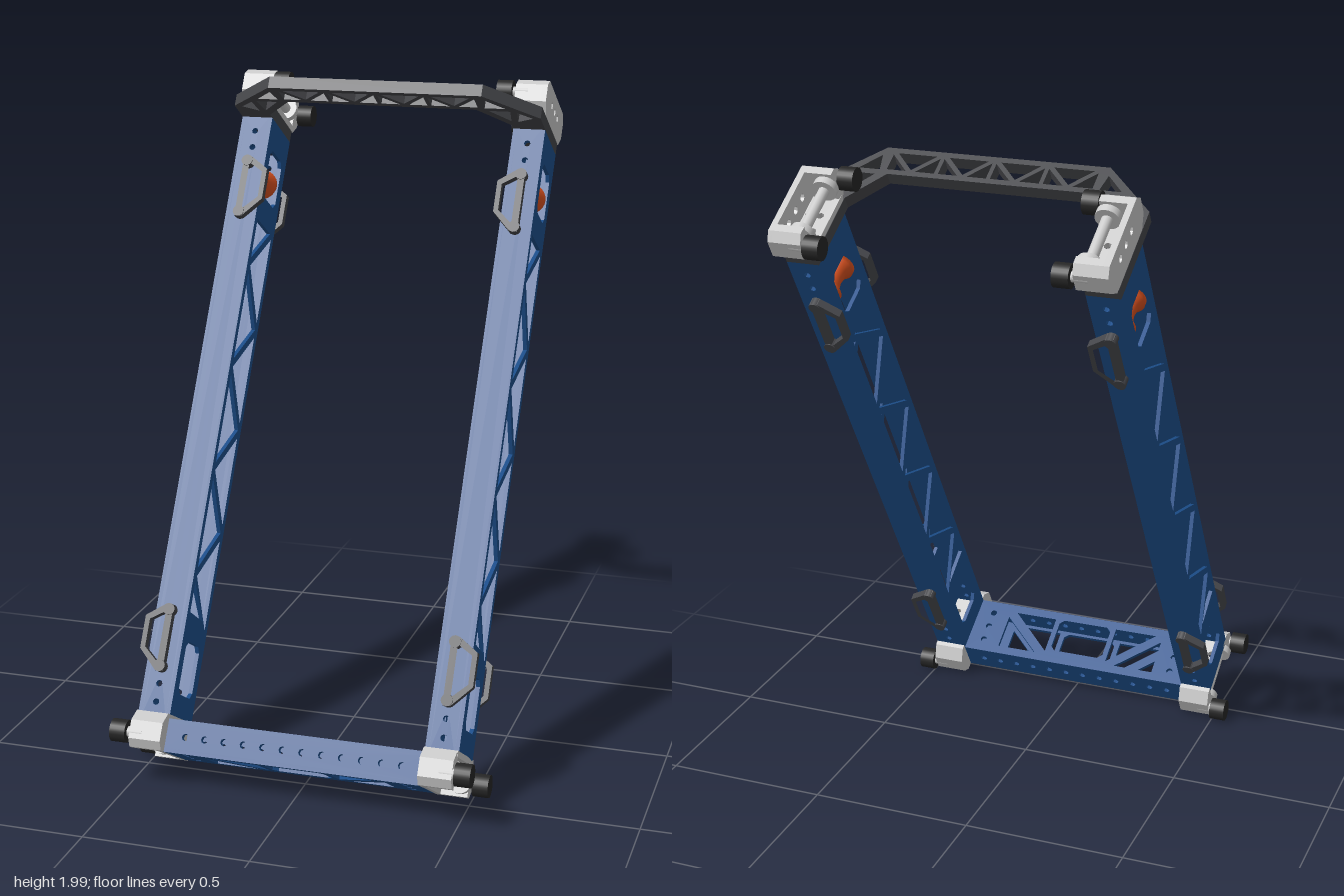
import * as THREE from 'three';

const mat = (c, side = THREE.FrontSide) => new THREE.MeshStandardMaterial({ color: c, side });
const BLUE = mat(0x1d4f8c), DARK = mat(0x45464a), BLACK = mat(0x262626),
  GREY = mat(0xcccccc), ORANGE = mat(0xd9511f);
const V = (x, y) => new THREE.Vector2(x, y);

function add(parent, name, geo, material, x = 0, y = 0, z = 0) {
  const m = new THREE.Mesh(geo, material);
  m.name = name;
  m.position.set(x, y, z);
  parent.add(m);
  return m;
}
const box = (w, h, d) => new THREE.BoxGeometry(w, h, d);
const poly = (pts) => pts.map(([x, y]) => V(x, y));
const rectPts = (cx, cy, hw, hh) =>
  poly([[cx - hw, cy - hh], [cx + hw, cy - hh], [cx + hw, cy + hh], [cx - hw, cy + hh]]);
// rectangle with cut corners
const softRect = (cx, cy, a, b, c) => poly([[-a + c, -b], [a - c, -b], [a, -b + c], [a, b - c],
  [a - c, b], [-a + c, b], [-a, b - c], [-a, -b + c]].map(([x, y]) => [cx + x, cy + y]));
const circle = (cx, cy, r) => new THREE.Path().absarc(cx, cy, r, 0, Math.PI * 2, true).getPoints(4);

// triangle shrunk evenly from its sides, leaving struts between neighbours
function tri(p, q, r, inset) {
  const [a, b, c] = poly([p, q, r]);
  const la = b.distanceTo(c), lb = c.distanceTo(a), lc = a.distanceTo(b), s = la + lb + lc;
  const mid = V((la * a.x + lb * b.x + lc * c.x) / s, (la * a.y + lb * b.y + lc * c.y) / s);
  const area = Math.abs((b.x - a.x) * (c.y - a.y) - (c.x - a.x) * (b.y - a.y)) / 2;
  const k = 1 - inset / (2 * area / s);
  return [a, b, c].map((v) => v.clone().sub(mid).multiplyScalar(k).add(mid));
}

// pierced plate, centred on its thickness
function plate(outline, holes, t) {
  const shape = new THREE.Shape(outline);
  holes.forEach((h) => shape.holes.push(new THREE.Path(h)));
  return new THREE.ExtrudeGeometry(shape, { depth: t, bevelEnabled: false, curveSegments: 8 })
    .translate(0, 0, -t / 2);
}
const sidePlate = (o, h, t) => plate(o, h, t).rotateY(-Math.PI / 2); // shape lies in z, y
const flatPlate = (o, h, t) => plate(o, h, t).rotateX(Math.PI / 2);  // shape lies in x, z

const X = 0.44, LOW = -0.985, HIGH = 0.932;

function makeLeg(s) {
  const leg = new THREE.Group();
  leg.name = s > 0 ? 'leftLeg' : 'rightLeg';
  // truss cut-outs between alternating nodes on the two chords
  const nodes = [[-0.088, -0.715]];
  for (let i = 0; i < 8; i++) nodes.push([i % 2 ? -0.088 : 0.088, -0.548 + i * 0.1655]);
  const holes = [softRect(0, -0.825, 0.062, 0.08, 0.018), softRect(0, 0.762, 0.062, 0.08, 0.018)];
  for (let i = 0; i < 7; i++) holes.push(tri(nodes[i], nodes[i + 1], nodes[i + 2], 0.011));
  holes.push(tri([0.088, -0.548], [0.088, -0.67], [-0.088, -0.68], 0.011));
  holes.push(tri([0.088, 0.445], [0.088, 0.61], [-0.088, 0.61], 0.011));
  const web = sidePlate(rectPts(0, (LOW + HIGH) / 2, 0.1, (HIGH - LOW) / 2), holes, 0.012);
  for (const d of [-1, 1]) add(leg, 'trussWeb', web, BLUE, s * X + d * 0.044);
  // front and back faces with bolt holes near the ends
  const bolts = [-0.94, -0.885, 0.83, 0.885].map((y) => circle(0, y, 0.01));
  const face = plate(rectPts(0, (LOW + HIGH) / 2, 0.038, (HIGH - LOW) / 2), bolts, 0.018);
  for (const d of [-1, 1]) add(leg, 'legFace', face, BLUE, s * X, 0, d * 0.091);
  // cable spool in the upper window
  const profile = [[0, -0.058], [0.047, -0.058], [0.047, -0.044], [0.033, -0.026], [0.029, 0],
    [0.033, 0.026], [0.047, 0.044], [0.047, 0.058], [0, 0.058]];
  add(leg, 'spool', new THREE.LatheGeometry(poly(profile), 24).rotateX(Math.PI / 2), ORANGE, s * X, 0.762, 0);
  // cable hooks: inward at the top, outward at the bottom
  for (const [y, d] of [[0.69, -s], [-0.75, s]]) for (const w of [-1, 1]) {
    const hook = new THREE.Group();
    hook.name = 'cableHook';
    hook.position.set(s * X, y, w * 0.113);
    const loop = plate(poly([[-0.012 * d, 0.1], [0.012 * d, 0.1], [0.07 * d, 0.06], [0.07 * d, -0.04],
      [0.012 * d, -0.1], [-0.012 * d, -0.1]]),
    [poly([[0.009 * d, 0.078], [0.055 * d, 0.05], [0.055 * d, -0.034], [0.009 * d, -0.076]])], 0.024);
    add(hook, 'hookLoop', loop, DARK);
    for (const e of [-1, 1])
      add(hook, 'hookBoss', new THREE.CylinderGeometry(0.018, 0.018, 0.03, 14).rotateX(Math.PI / 2), DARK, 0, e * 0.085, 0);
    leg.add(hook);
  }
  return leg;
}

// end bracket: closed side toward +x, wheels toward -x, leg side toward -y
function makeBracket() {
  const g = new THREE.Group();
  g.name = 'endBracket';
  const outline = poly([[-0.115, -0.058], [0.115, -0.058], [0.148, -0.025], [0.148, 0.03],
    [0.125, 0.053], [-0.125, 0.053], [-0.148, 0.03], [-0.148, -0.025]]);
  const dots = [-0.05, 0, 0.05].map((z) => circle(z, 0.005, 0.012));
  add(g, 'bracketSide', sidePlate(outline, dots, 0.018), GREY, 0.041);
  const deckHoles = [];
  for (const x of [-0.018, 0.018]) for (const z of [-0.03, 0.03]) deckHoles.push(circle(x, z, 0.011));
  add(g, 'bracketDeck', flatPlate(rectPts(0, 0, 0.05, 0.115), deckHoles, 0.018), GREY, 0, -0.049);
  for (const d of [-1, 1]) {
    // rounded arm and its wheel
    const arm = poly([[0.1, -0.058], [0.115, -0.058], [0.148, -0.025], [0.148, 0.03], [0.125, 0.053], [0.1, 0.053]]
      .map(([z, y]) => [d * z, y]));
    add(g, 'bracketArm', sidePlate(arm, [], 0.085), GREY, -0.0065);
    add(g, 'wheel', new THREE.CylinderGeometry(0.034, 0.034, 0.048, 24).rotateZ(Math.PI / 2), BLACK, -0.081, 0.01, d * 0.133);
    add(g, 'wheelHub', new THREE.CylinderGeometry(0.016, 0.016, 0.06, 14).rotateZ(Math.PI / 2), GREY, -0.04, 0.01, d * 0.133);
    add(g, 'axleCollar', new THREE.CylinderGeometry(0.036, 0.036, 0.022, 20).rotateX(Math.PI / 2), GREY, -0.025, 0.01, d * 0.088);
  }
  add(g, 'axle', new THREE.CylinderGeometry(0.016, 0.016, 0.21, 16).rotateX(Math.PI / 2), GREY, -0.025, 0.01, 0);
  return g;
}

function makeRail() {
  const rail = new THREE.Group();
  rail.name = 'bottomRail';
  const holes = [softRect(0, 0.01, 0.092, 0.062, 0.015)];
  for (const s of [-1, 1]) {
    holes.push(tri([s * 0.285, -0.08], [s * 0.285, 0.07], [s * 0.12, -0.08], 0.009));
    holes.push(tri([s * 0.1, -0.08], [s * 0.1, 0.08], [s * 0.275, 0.08], 0.009));
    for (const z of [-0.055, 0, 0.055]) holes.push(circle(s * 0.335, z, 0.011));
  }
  const web = flatPlate(rectPts(0, 0, 0.39, 0.1), holes, 0.012);
  for (const y of [-0.99, -1.077]) add(rail, 'railWeb', web, BLUE, 0, y, 0);
  const dots = [];
  for (let i = 0; i < 12; i++) dots.push(circle(-0.33 + i * 0.06, 0, 0.011));
  const face = plate(rectPts(0, 0, 0.39, 0.038), dots, 0.018);
  for (const d of [-1, 1]) add(rail, 'railFace', face, BLUE, 0, -1.0335, d * 0.091);
  return rail;
}

// arched top handle with a trussed bar
function makeHandle() {
  const half = [[0.3, 0.232], [0.39, 0.125], [0.39, -0.1], [0.49, -0.1], [0.49, 0.185], [0.335, 0.335]];
  const outline = poly([...half, ...half.map(([x, z]) => [-x, z]).reverse()]);
  const holes = [], a = 0.244, b = 0.324, w = 0.0785;
  for (let i = 0; i < 4; i++) {
    const c = (i - 1.5) * 2 * w;
    holes.push(tri([c - w, b], [c + w, b], [c, a], 0.008));
    holes.push(tri([c - w, a], [c, a], [c - w, b], 0.006), tri([c + w, a], [c, a], [c + w, b], 0.006));
  }
  for (const s of [-1, 1]) {
    holes.push(tri([s * 0.32, 0.24], [s * 0.335, 0.318], [s * 0.41, 0.24], 0.007));
    holes.push(tri([s * 0.322, 0.235], [s * 0.412, 0.235], [s * 0.4, 0.14], 0.007));
    holes.push(tri([s * 0.418, 0.235], [s * 0.478, 0.18], [s * 0.407, 0.14], 0.007));
  }
  const m = new THREE.Mesh(flatPlate(outline, holes, 0.038), DARK);
  m.name = 'topHandle';
  m.position.y = 0.951;
  return m;
}

export function createModel() {
  const model = new THREE.Group();
  model.name = 'leaningFrame';
  const frame = new THREE.Group();
  frame.name = 'frame';
  frame.position.y = 1;
  frame.rotation.x = -0.547;
  model.add(frame);
  frame.add(makeRail(), makeHandle());
  for (const s of [-1, 1]) {
    frame.add(makeLeg(s));
    const top = makeBracket();
    top.position.set(s * X, 1.03, 0);
    if (s < 0) top.rotation.y = Math.PI;
    const bottom = makeBracket();
    bottom.position.set(s * X, -1.03, 0);
    if (s > 0) bottom.rotation.z = Math.PI;
    else bottom.rotation.x = Math.PI;
    frame.add(top, bottom);
  }
  return model;
}
